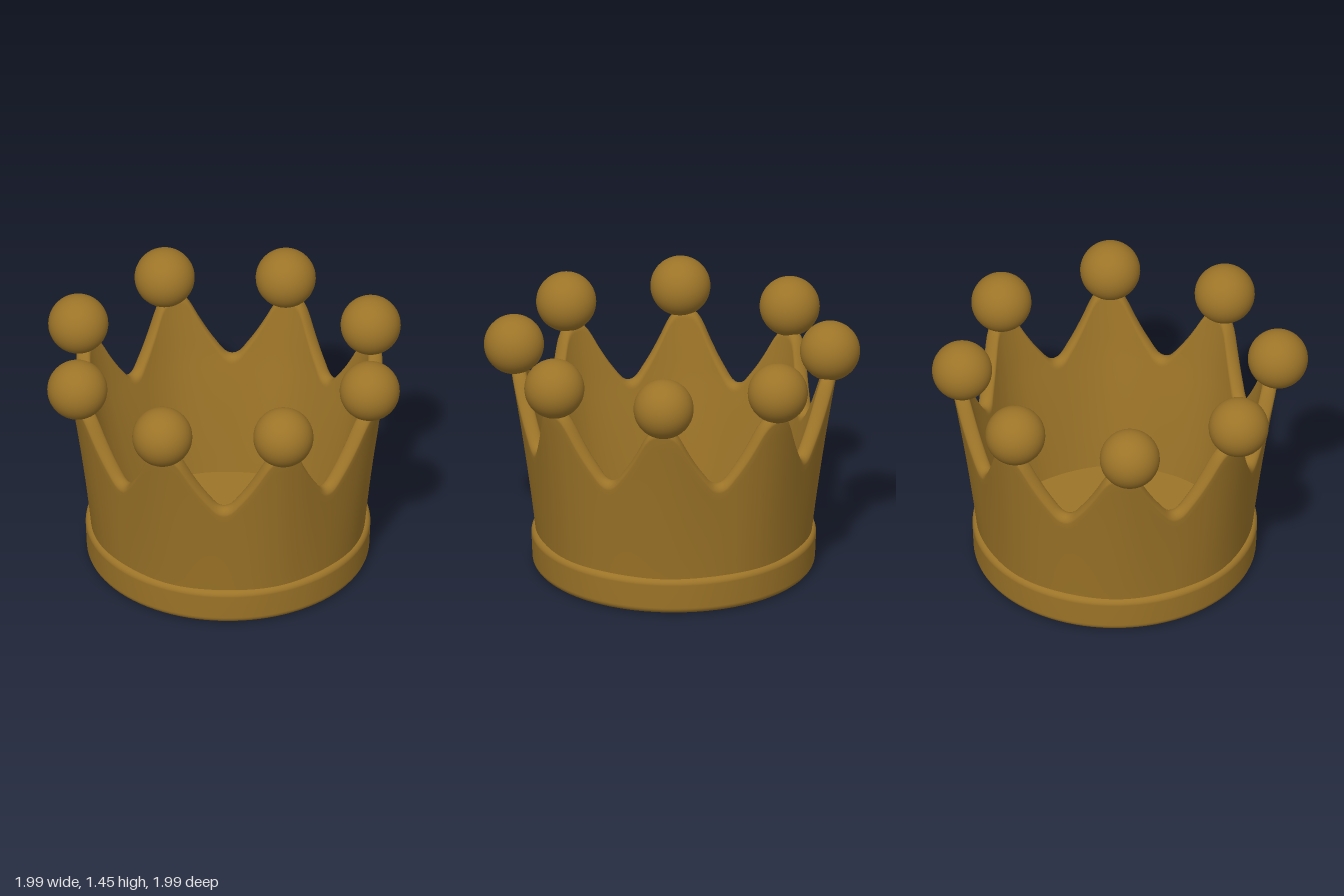
import * as THREE from 'three';

const CX = 0.022, CZ = -0.022; // band and wall sit slightly off the ring of balls
const POINTS = 8;
const FLOOR = 0.08;

// rim height from the middle of a valley (0 deg) to the middle of a spike (22.5 deg)
const rim = [[0, 0.78], [3, 0.797], [6, 0.85], [9.5, 0.922], [13, 1.01], [16.5, 1.11], [19, 1.152], [22.5, 1.165]];
function rimHeight(deg) {
  const d = Math.abs(((deg + 22.5) % 45) - 22.5);
  let k = 0;
  while (k < rim.length - 2 && d > rim[k + 1][0]) k++;
  const slope = (i) => {
    if (i === 0 || i === rim.length - 1) return 0;
    return (rim[i + 1][1] - rim[i - 1][1]) / (rim[i + 1][0] - rim[i - 1][0]);
  };
  const [x0, y0] = rim[k], [x1, y1] = rim[k + 1];
  const w = x1 - x0, t = (d - x0) / w, s = 1 - t;
  return y0 * (1 + 2 * t) * s * s + slope(k) * w * t * s * s
    + y1 * t * t * (3 - 2 * t) - slope(k + 1) * w * t * t * s;
}

// outer radius of the wall: flares upward and bulges at the spikes
function outerRadius(y, deg) {
  const bulge = 0.5 - 0.5 * Math.cos(THREE.MathUtils.degToRad(deg * POINTS));
  const d = Math.max(0, y - 0.21);
  return 0.771 + 0.095 * (y - 0.21) + 0.03 * d * d + bulge * (0.006 + 0.024 * d);
}

// the wall gets thinner towards the rim
const thickness = (y) => THREE.MathUtils.mapLinear(Math.min(y, 0.8), FLOOR, 0.8, 0.114, 0.085);

function wallGeometry() {
  const around = 240, rows = 14, arc = 10, bevel = 0.045, base = FLOOR - 0.02;
  const pos = [], index = [];
  const n = rows * 2 + arc + 1;
  for (let i = 0; i < around; i++) {
    const deg = (i / around) * 360, a = THREE.MathUtils.degToRad(deg);
    const top = rimHeight(deg) - bevel;
    const add = (r, y) => pos.push(CX + r * Math.cos(a), y, CZ + r * Math.sin(a));
    const rowY = (j) => base + (top - base) * (j / rows);
    for (let j = 0; j < rows; j++) add(outerRadius(rowY(j), deg), rowY(j));
    // rounded rim
    const half = thickness(top) / 2;
    for (let j = 0; j <= arc; j++) {
      const p = (j / arc) * Math.PI;
      add(outerRadius(top, deg) - half + Math.cos(p) * half, top + bevel * Math.sin(p));
    }
    for (let j = rows - 1; j >= 0; j--) add(outerRadius(rowY(j), deg) - thickness(rowY(j)), rowY(j));
  }
  for (let i = 0; i < around; i++) {
    const i2 = (i + 1) % around;
    for (let j = 0; j < n - 1; j++) {
      const a = i * n + j, b = i2 * n + j;
      index.push(a, a + 1, b, b, a + 1, b + 1);
    }
  }
  const g = new THREE.BufferGeometry();
  g.setAttribute('position', new THREE.Float32BufferAttribute(pos, 3));
  g.setIndex(index);
  g.computeVertexNormals();
  return g;
}

// base band with rounded edges, closed underneath
function bandGeometry() {
  const pts = [new THREE.Vector2(0, 0), new THREE.Vector2(0.74, 0)];
  const corner = (r, y, rad, from, to) => {
    for (let k = 0; k <= 6; k++) {
      const a = THREE.MathUtils.lerp(from, to, k / 6);
      pts.push(new THREE.Vector2(r + rad * Math.cos(a), y + rad * Math.sin(a)));
    }
  };
  corner(0.755, 0.038, 0.038, -Math.PI / 2, 0);
  corner(0.765, 0.176, 0.034, 0, Math.PI / 2);
  pts.push(new THREE.Vector2(0.72, 0.21));
  return new THREE.LatheGeometry(pts, 96);
}

export function createModel() {
  const group = new THREE.Group();
  const gold = new THREE.MeshStandardMaterial({ color: 0x9c7428 });
  gold.name = 'gold';
  const add = (name, geometry, x = 0, y = 0, z = 0) => {
    const m = new THREE.Mesh(geometry, gold);
    m.name = name;
    m.position.set(x, y, z);
    group.add(m);
  };

  add('baseBand', bandGeometry(), CX, 0, CZ);
  add('floor', new THREE.CircleGeometry(0.7, 64).rotateX(-Math.PI / 2), CX, FLOOR, CZ);
  add('spikedWall', wallGeometry());

  // one ball on every spike
  const ball = new THREE.SphereGeometry(0.169, 40, 28);
  for (let i = 0; i < POINTS; i++) {
    const a = THREE.MathUtils.degToRad(21.3 + i * 45);
    add('ball' + (i + 1), ball, 0.888 * Math.cos(a), 1.281, 0.888 * Math.sin(a));
  }
  return group;
}
